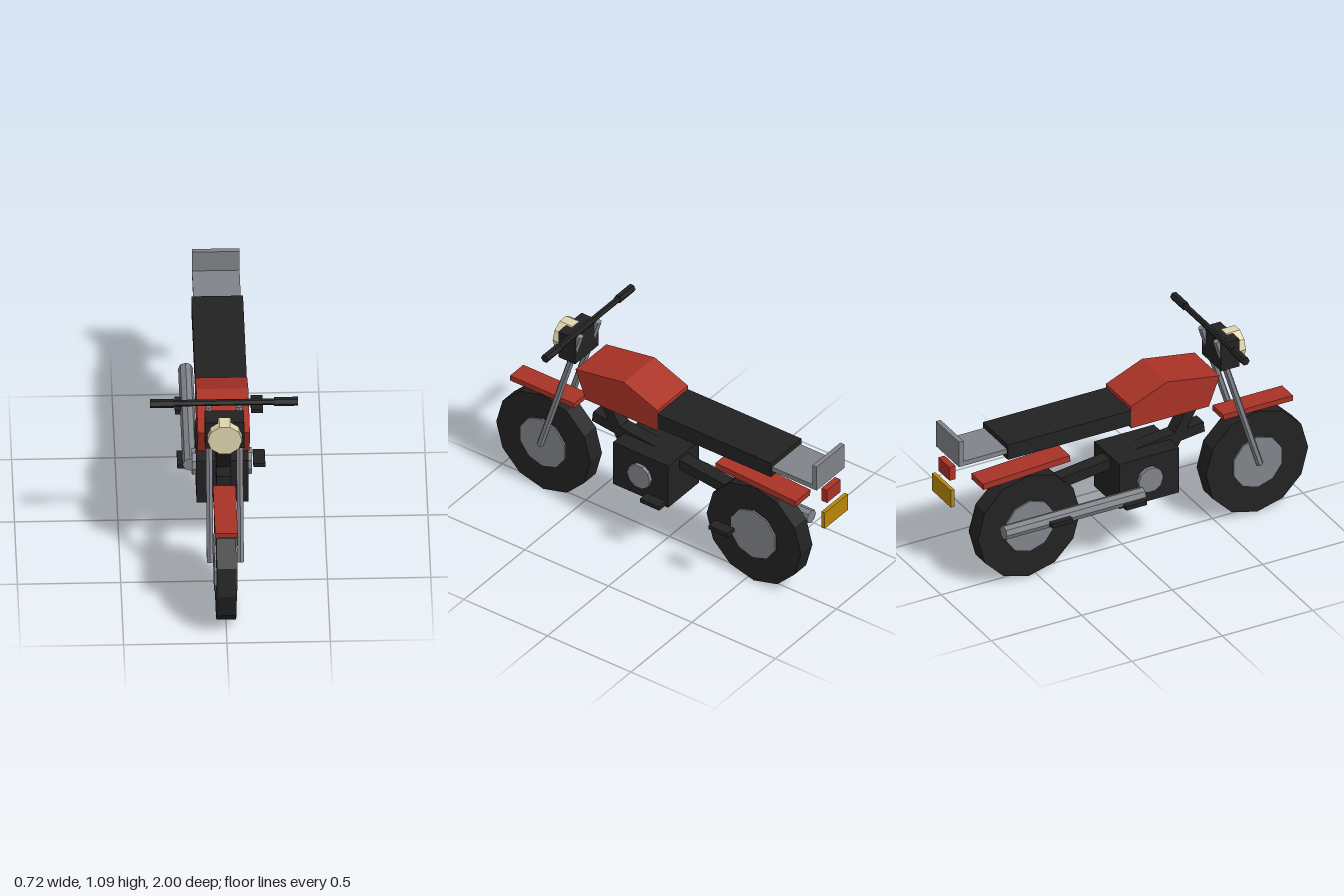
import * as THREE from 'three';

const mat = (name, color) => {
  const m = new THREE.MeshStandardMaterial({ color, flatShading: true });
  m.name = name;
  return m;
};

export function createModel() {
  const black = mat('black', 0x222222);
  const red = mat('red', 0xa93226);
  const grey = mat('grey', 0x808389);
  const cream = mat('cream', 0xdfd5ac);
  const amber = mat('amber', 0xb8860b);

  const bike = new THREE.Group();
  bike.name = 'motorcycle';

  const add = (name, geometry, material, x, y, z) => {
    const mesh = new THREE.Mesh(geometry, material);
    mesh.name = name;
    mesh.position.set(x, y, z);
    bike.add(mesh);
    return mesh;
  };
  const box = (name, material, w, h, d, x, y, z) =>
    add(name, new THREE.BoxGeometry(w, h, d), material, x, y, z);
  // cylinder lying across the bike
  const axle = (name, material, r, width, sides, x, y, z) =>
    add(name, new THREE.CylinderGeometry(r, r, width, sides).rotateZ(Math.PI / 2), material, x, y, z);
  // cylinder lying along the bike
  const along = (name, material, r, length, sides, x, y, z) =>
    add(name, new THREE.CylinderGeometry(r, r, length, sides).rotateX(Math.PI / 2), material, x, y, z);
  // square beam between two (z, y) points on the centre line
  const beam = (name, material, w, h, z1, y1, z2, y2) => {
    const m = box(name, material, w, h, Math.hypot(z2 - z1, y2 - y1), 0, (y1 + y2) / 2, (z1 + z2) / 2);
    m.rotation.x = -Math.atan2(y1 - y2, z1 - z2);
    return m;
  };

  // wheels
  for (const [side, z] of [['front', 0.72], ['rear', -0.54]]) {
    axle(side + 'Tyre', black, 0.282, 0.095, 12, 0, 0.282, z);
    axle(side + 'Hub', grey, 0.14, 0.112, 10, 0, 0.282, z).rotation.x = Math.PI / 2;
  }

  // fork legs
  const forkDz = 0.48 - 0.72, forkDy = 1.04 - 0.282;
  for (const x of [-0.074, 0.074]) {
    const leg = add('forkLeg', new THREE.CylinderGeometry(0.018, 0.018, Math.hypot(forkDz, forkDy), 6),
      grey, x, 0.661, 0.6);
    leg.rotation.x = Math.atan2(forkDz, forkDy);
  }

  // handlebar and grips
  axle('handlebar', black, 0.016, 0.5, 6, 0, 1.07, 0.485);
  for (const x of [-0.3, 0.3]) axle('grip', black, 0.022, 0.116, 6, x, 1.07, 0.485);

  // headlight
  box('headlightHousing', black, 0.19, 0.153, 0.1, 0, 0.9525, 0.545);
  along('headlight', cream, 0.084, 0.077, 10, 0, 0.953, 0.599).rotation.z = Math.PI / 2;

  // mudguards
  box('frontMudguard', red, 0.11, 0.028, 0.385, 0, 0.586, 0.722);
  beam('rearMudguard', red, 0.12, 0.033, -0.32, 0.602, -0.8, 0.578);

  // fuel tank, side profile in (z, y) extruded across the bike
  const tankShape = new THREE.Shape(
    [[0.47, 0.875], [0.18, 0.923], [-0.02, 0.84], [-0.02, 0.72], [0.41, 0.72]]
      .map(([z, y]) => new THREE.Vector2(-z, y)));
  const tankGeometry = new THREE.ExtrudeGeometry(tankShape, { depth: 0.252, bevelEnabled: false })
    .translate(0, 0, -0.126).rotateY(Math.PI / 2);
  add('fuelTank', tankGeometry, red, 0, 0, 0);

  // seat and rack
  box('seat', black, 0.25, 0.083, 0.68, 0, 0.778, -0.36);
  box('rack', grey, 0.23, 0.026, 0.275, 0, 0.779, -0.8275);
  box('rackBack', grey, 0.23, 0.138, 0.025, 0, 0.837, -0.9525);

  // tail light and number plate
  box('tailLight', red, 0.112, 0.074, 0.034, 0, 0.702, -0.968);
  box('numberPlate', amber, 0.19, 0.095, 0.02, 0, 0.586, -0.989);

  // frame
  beam('downTube', black, 0.07, 0.055, 0.455, 0.83, 0.265, 0.495);
  beam('mainBeam', black, 0.07, 0.055, 0.435, 0.553, -0.37, 0.457);

  // engine with round covers
  box('engine', black, 0.252, 0.25, 0.33, 0, 0.41, 0.08);
  for (const x of [-0.13, 0.13]) axle('engineCover', grey, 0.068, 0.03, 10, x, 0.41, 0.08);

  // exhaust
  along('exhaust', grey, 0.036, 0.77, 8, -0.152, 0.352, -0.355);

  // foot pegs
  for (const x of [-0.184, 0.184]) {
    box('footPeg', black, 0.058, 0.022, 0.115, x, 0.334, -0.037);
    box('rearFootPeg', black, 0.058, 0.022, 0.115, x, 0.352, -0.447);
  }

  return bike;
}
